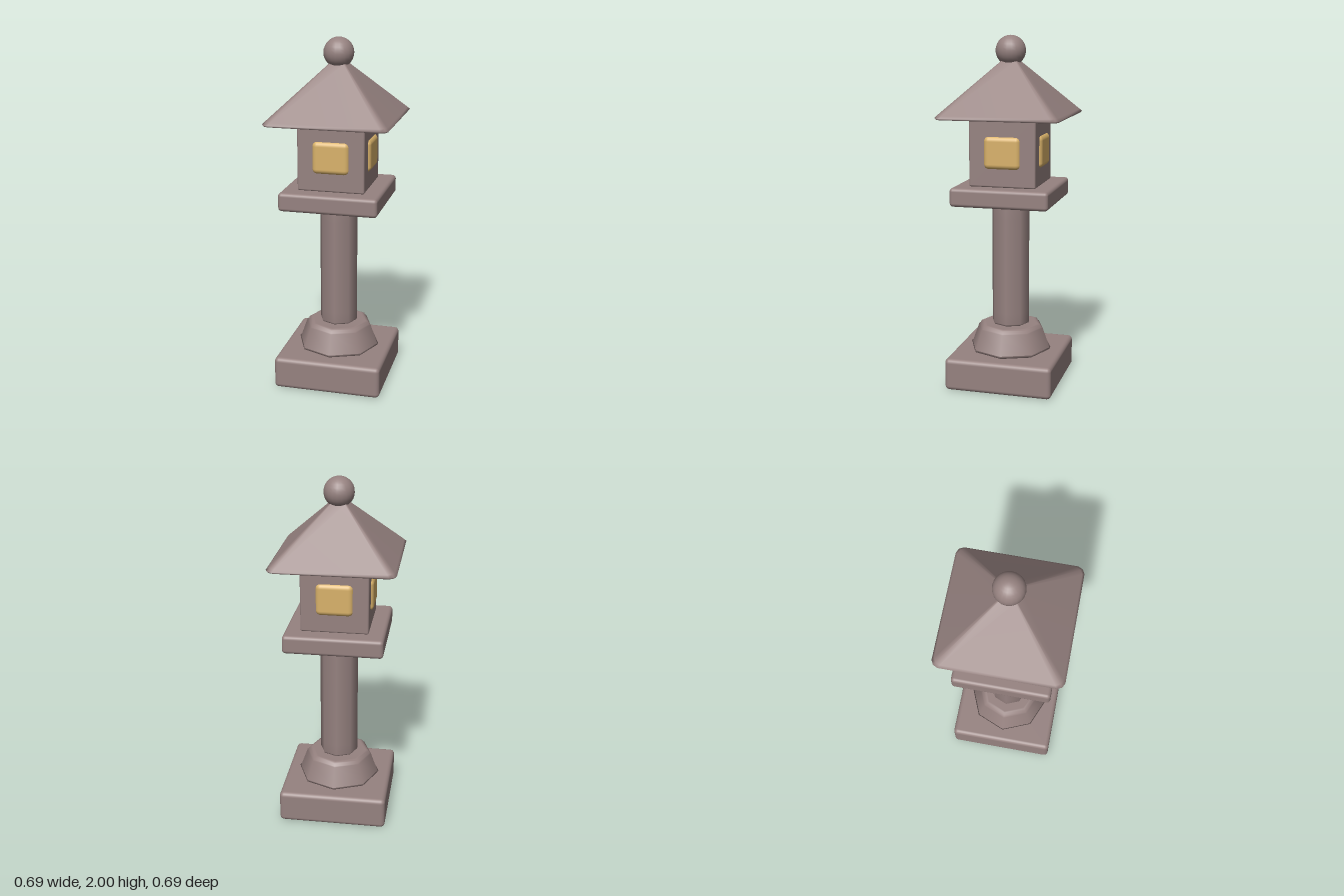
import * as THREE from 'three';
import { RoundedBoxGeometry } from 'three/addons/geometries/RoundedBoxGeometry.js';

const stone = new THREE.MeshStandardMaterial({ color: 0x968280 });
stone.name = 'stone';
const glow = new THREE.MeshStandardMaterial({ color: 0xd9b26a });
glow.name = 'windowGlow';

function part(name, geometry, material, y = 0) {
  const mesh = new THREE.Mesh(geometry, material);
  mesh.name = name;
  mesh.position.y = y;
  return mesh;
}

// Square slab with softened edges between two heights
function slab(name, width, y0, y1, radius) {
  return part(name, new RoundedBoxGeometry(width, y1 - y0, width, 3, radius), stone, (y0 + y1) / 2);
}

// Eight-sided column with bevelled ends
function octagon(name, r0, r1, y0, y1, b) {
  const profile = [
    [0, y0], [r0 - b * 1.5, y0], [r0 - b, y0], [r0 - b * 0.3, y0 + b * 0.3], [r0, y0 + b],
    [r0 + (r1 - r0) * 0.1, y0 + (y1 - y0) * 0.1],
    [r1 - (r1 - r0) * 0.15, y1 - (y1 - y0) * 0.15],
    [r1, y1 - b], [r1 - b * 0.3, y1 - b * 0.3], [r1 - b, y1], [r1 - b * 1.5, y1], [0, y1],
  ].map(([x, y]) => new THREE.Vector2(x, y));
  return part(name, new THREE.LatheGeometry(profile, 8), stone);
}

// Square ring with three points per clipped corner
function ring(half, cut, y) {
  const corner = [[half, half - cut], [half - cut * 0.33, half - cut * 0.33], [half - cut, half]];
  const points = [];
  for (let k = 0; k < 4; k++) {
    const c = Math.round(Math.cos(k * Math.PI / 2)), s = Math.round(Math.sin(k * Math.PI / 2));
    for (const [x, z] of corner) points.push([x * c - z * s, y, x * s + z * c]);
  }
  return points;
}

// Pyramid roof: smooth sides and rim, flat underside and top
function roofGeometry() {
  const rings = [ring(0.325, 0.03, 1.55), ring(0.34, 0.036, 1.551), ring(0.347, 0.038, 1.56), ring(0.335, 0.037, 1.573), ring(0.045, 0.008, 1.858)];
  const n = 12, positions = rings.flat(2), index = [];
  for (let r = 0; r < rings.length - 1; r++) {
    for (let i = 0; i < n; i++) {
      const a = r * n + i, b = r * n + (i + 1) % n, c = a + n, d = b + n;
      index.push(a, c, b, b, c, d);
    }
  }
  const caps = [[rings[0], false], [rings[rings.length - 1], true]];
  for (const [loop, up] of caps) {
    const start = positions.length / 3;
    positions.push(...loop.flat());
    for (let i = 1; i < n - 1; i++) {
      index.push(start, start + (up ? i + 1 : i), start + (up ? i : i + 1));
    }
  }
  const geometry = new THREE.BufferGeometry();
  geometry.setAttribute('position', new THREE.Float32BufferAttribute(positions, 3));
  geometry.setIndex(index);
  geometry.computeVertexNormals();
  return geometry;
}

export function createModel() {
  const lantern = new THREE.Group();
  lantern.name = 'stoneLantern';

  // Pedestal
  lantern.add(slab('base', 0.62, 0, 0.185, 0.025));
  lantern.add(octagon('foot', 0.24, 0.185, 0.185, 0.34, 0.02));
  lantern.add(octagon('post', 0.11, 0.11, 0.34, 1.08, 0.012));
  lantern.add(slab('platform', 0.56, 1.065, 1.17, 0.02));

  // Light chamber with a glowing window on each side
  lantern.add(slab('lightChamber', 0.38, 1.17, 1.56, 0.01));
  const windowGeometry = new RoundedBoxGeometry(0.21, 0.185, 0.06, 4, 0.029);
  windowGeometry.translate(0, 0, 0.175);
  for (let i = 0; i < 4; i++) {
    const pane = part('window', windowGeometry, glow, 1.3625);
    pane.rotation.y = i * Math.PI / 2;
    lantern.add(pane);
  }

  // Roof and finial
  lantern.add(part('roof', roofGeometry(), stone));
  lantern.add(part('finial', new THREE.SphereGeometry(0.085, 20, 14), stone, 1.915));

  return lantern;
}
